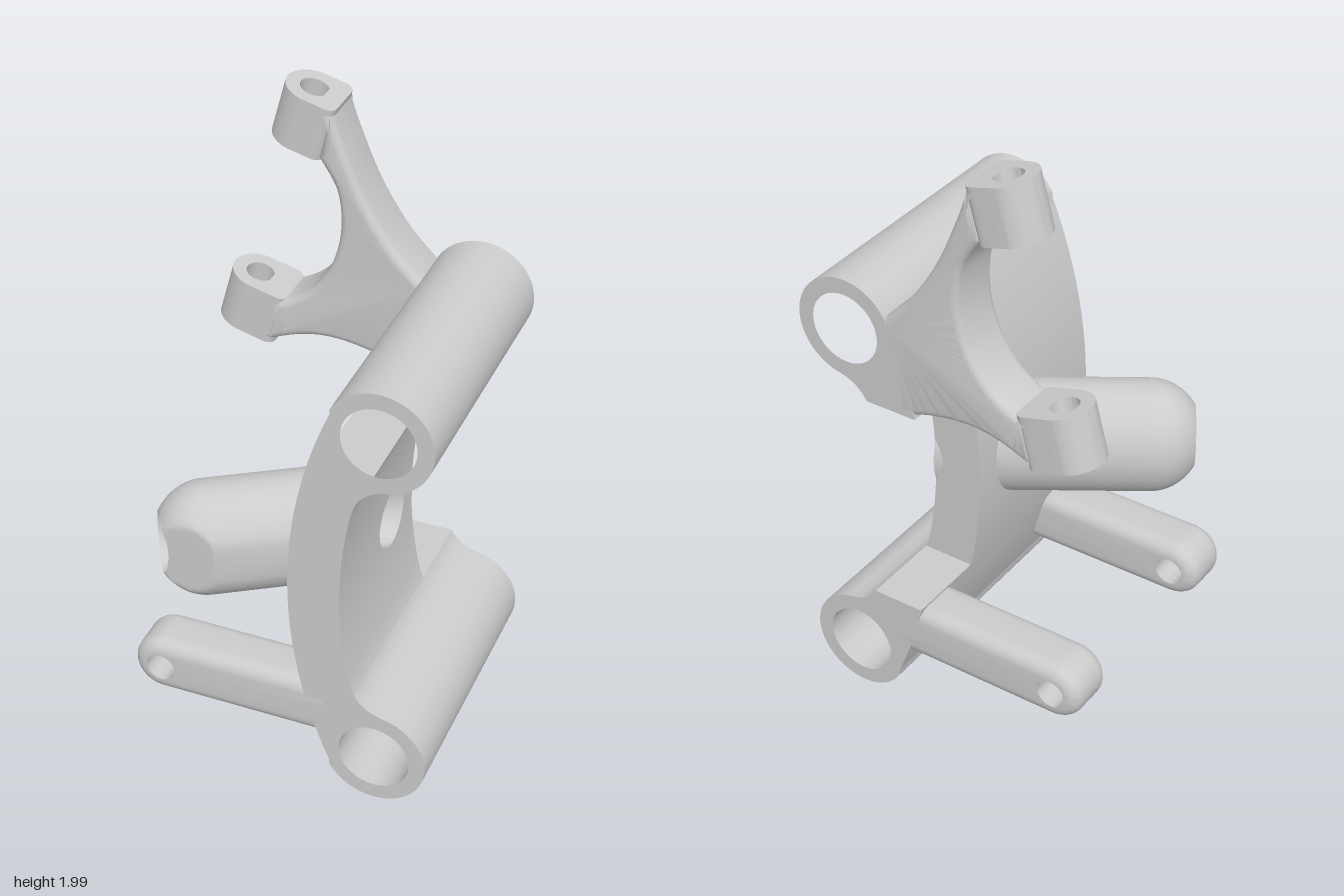
import * as THREE from 'three';
import { toCreasedNormals } from 'three/addons/utils/BufferGeometryUtils.js';

const V3 = (x, y, z) => new THREE.Vector3(x, y, z);
const MID = 0.76;               // height of the mirror plane of the body
const ARC_X = 1.708;            // centre of the curved plate
const CUT = 0.36;               // half height of the notch at the back
const BOSS = { x: 0.33, dy: 0.59, r: 0.166, bore: 0.115 };
const FIL = { x: 0.37, dy: 0.305, r: 0.12 };
const TUBE_HOLE = 0.103;

const outerX = y => ARC_X - Math.sqrt(1.658 ** 2 - (y - MID) ** 2);
const innerX = y => {
  const d = Math.abs(y - MID);
  return d < 0.332 ? ARC_X - Math.sqrt(1.493 ** 2 - d * d)
    : FIL.x - Math.sqrt(FIL.r ** 2 - (d - FIL.dy) ** 2);
};

// Skin a closed chain of rings, turned outward
function loft(rings) {
  const n = rings[0].length, pos = [], idx = [];
  rings.forEach(r => r.forEach(p => pos.push(p.x, p.y, p.z)));
  let volume = 0;
  const tri = (a, b, c) => {
    idx.push(a, b, c);
    const [p, q, r] = [a, b, c].map(i => rings[Math.floor(i / n)][i % n]);
    volume += p.dot(q.clone().cross(r));
  };
  for (let j = 0; j < rings.length - 1; j++) {
    for (let i = 0; i < n; i++) {
      const k = (i + 1) % n, a = j * n + i, b = j * n + k;
      tri(a, b, b + n);
      tri(a, b + n, a + n);
    }
  }
  if (volume < 0) idx.reverse();
  const g = new THREE.BufferGeometry();
  g.setAttribute('position', new THREE.Float32BufferAttribute(pos, 3));
  g.setIndex(idx);
  return toCreasedNormals(g, 0.6);
}

// Tongue outline: half round around the origin, straight sides to x = len
function tongue(R, len) {
  const half = [], c = 0.03;
  for (let i = 0; i <= 14; i++) {
    const a = Math.PI + (Math.PI / 2) * (i / 14);
    half.push([R * Math.cos(a), R * Math.sin(a)]);
  }
  for (let i = 1; i <= 8; i++) half.push([(len - c) * (i / 8) ** 2, -R]);
  for (let i = 1; i <= 5; i++) {
    const a = -Math.PI / 2 + (Math.PI / 2) * (i / 5);
    half.push([len - c + c * Math.cos(a), -R + c + c * Math.sin(a)]);
  }
  return half.concat(half.slice(1).reverse().map(([x, y]) => [x, -y]));
}

// Tongue with a hole at the origin and optional rounded edges
function holedTongue(R, len, hole, h, bevel) {
  const steps = [];
  if (bevel) {
    for (let i = 0; i <= 6; i++) {
      const a = (Math.PI / 2) * (i / 6);
      steps.push([-h + bevel * (1 - Math.sin(a)), bevel * (1 - Math.cos(a))]);
    }
    steps.reverse();
    // from the cap (inset) to the side (full size)
    steps.sort((p, q) => p[0] - q[0]);
  } else steps.push([-h, 0]);
  const all = steps.concat(steps.slice().reverse().map(([z, s]) => [-z, s]));
  const ring = (z, inset) => tongue(R - inset, len).map(([x, y]) => V3(x, y, z));
  const holeRing = z => tongue(R, len).map(([x, y]) => {
    const k = hole / Math.hypot(x, y);
    return V3(x * k, y * k, z);
  });
  return loft([holeRing(-h), ...all.map(([z, s]) => ring(z, s)), holeRing(h), holeRing(-h)]);
}

// Bored boss with its end of the curved plate; side = 1 top, -1 bottom
function bossGeometry(side) {
  const pts = [], put = (x, d) => pts.push(new THREE.Vector2(x, MID + side * d));
  const tip = Math.atan2(BOSS.dy, BOSS.x - ARC_X);
  for (let i = 0; i <= 12; i++) {
    const d = CUT + (1.658 * Math.sin(tip) - CUT) * (i / 12);
    put(outerX(MID + d), d);
  }
  const end = Math.atan2(FIL.dy - BOSS.dy, FIL.x - BOSS.x);
  for (let i = 1; i <= 48; i++) {
    const a = tip + (end - tip) * (i / 48);
    put(BOSS.x + BOSS.r * Math.cos(a), BOSS.dy + BOSS.r * Math.sin(a));
  }
  const a0 = end + Math.PI, a1 = Math.PI - Math.asin((CUT - FIL.dy) / FIL.r);
  for (let i = 1; i <= 12; i++) {
    const a = a0 + (a1 - a0) * (i / 12);
    put(FIL.x + FIL.r * Math.cos(a), FIL.dy + FIL.r * Math.sin(a));
  }
  const shape = new THREE.Shape(pts);
  shape.holes.push(new THREE.Path().absarc(BOSS.x, MID + side * BOSS.dy, BOSS.bore, 0, Math.PI * 2, true));
  const g = new THREE.ExtrudeGeometry(shape, { depth: 0.874, bevelEnabled: false, curveSegments: 32 });
  g.translate(0, 0, -0.437);
  return toCreasedNormals(g, 0.6);
}

// Curved plate between the bosses, pierced by the slanted bore
function plateGeometry() {
  const z0 = -0.168, z1 = 0.437, edge = [], n = 24;
  const corners = [[z0, -CUT], [z1, -CUT], [z1, CUT], [z0, CUT]];
  corners.forEach(([z, d], i) => {
    const [zb, db] = corners[(i + 1) % 4];
    for (let k = 0; k < n; k++) edge.push([z + (zb - z) * k / n, d + (db - d) * k / n]);
  });
  const ring = (f, zc, t) => edge.map(([z, d]) => {
    const k = TUBE_HOLE / Math.hypot(z - zc, d);
    const y = MID + THREE.MathUtils.lerp(d * k, d, t);
    return V3(f(y), y, THREE.MathUtils.lerp(zc + (z - zc) * k, z, t));
  });
  const rings = [];
  for (let i = 0; i <= 10; i++) rings.push(ring(innerX, 0.005, i / 10));
  for (let i = 10; i >= 0; i--) rings.push(ring(outerX, 0.11, i / 10));
  rings.push(rings[0]);
  return loft(rings);
}

// Slanted hollow tube with a domed end, starting at the plate's inner face
function tubeGeometry() {
  const R = 0.1885, c = 0.842, s = 0.539, domeAt = 0.376, domeLen = 0.167;
  const ring = (r, at) => Array.from({ length: 64 }, (_, i) => {
    const a = (i / 64) * Math.PI * 2, y = MID + r * Math.sin(a), w = c * r * Math.cos(a);
    const t = at === null ? (0.05 + w * s - innerX(y) + 0.002) / c : at;
    return V3(0.05 - t * c + w * s, y, Math.min(0.11 + t * s + w * c, 0.437));
  });
  const rings = [ring(TUBE_HOLE, null), ring(R, null)];
  const last = Math.acos(TUBE_HOLE / R);
  for (let i = 0; i <= 14; i++) {
    const a = last * (i / 14);
    rings.push(ring(R * Math.cos(a), domeAt + domeLen * Math.sin(a)));
  }
  rings.push(ring(TUBE_HOLE, null));
  return loft(rings);
}

// Forked web that carries the two lugs
function webGeometry() {
  const v = list => list.map(([x, y]) => new THREE.Vector2(x, y));
  const shape = new THREE.Shape();
  shape.moveTo(-0.1, 1.945);
  shape.splineThru(v([[-0.06, 1.83], [0.01, 1.67], [0.1, 1.53], [0.205, 1.42]]));
  shape.lineTo(0.19, 1.35);
  shape.lineTo(0.17, 1.2);
  shape.lineTo(0.13, 1.115);
  shape.splineThru(v([[0.03, 1.148], [-0.09, 1.166], [-0.2, 1.152], [-0.32, 1.105]]));
  shape.lineTo(-0.29, 1.265);
  shape.splineThru(v([[-0.24, 1.275], [-0.165, 1.33], [-0.1, 1.43], [-0.07, 1.56], [-0.083, 1.69], [-0.14, 1.79]]));
  const g = new THREE.ExtrudeGeometry(shape, {
    depth: 0.127, bevelThickness: 0.025, bevelSize: 0.025, bevelOffset: -0.025, bevelSegments: 5, curveSegments: 32,
  });
  g.translate(0, 0, -0.412);
  return toCreasedNormals(g, 0.6);
}

export function createModel() {
  const group = new THREE.Group();
  const material = new THREE.MeshStandardMaterial({ color: 0xcccccc });
  const add = (name, geometry, x = 0, y = 0, z = 0) => {
    const mesh = new THREE.Mesh(geometry, material);
    mesh.name = name;
    mesh.position.set(x, y, z);
    group.add(mesh);
    return mesh;
  };

  add('upperBoss', bossGeometry(1));
  add('lowerBoss', bossGeometry(-1));
  add('curvedPlate', plateGeometry());
  add('slantedTube', tubeGeometry());

  // Pair of lower arms
  const arm = holedTongue(0.096, 0.555, 0.047, 0.0885, 0.045);
  add('frontArm', arm, -0.385, 0.295, 0.3485);
  add('backArm', arm, -0.385, 0.295, -0.3485);

  // Bracket with two tilted lugs
  add('bracketWeb', webGeometry());
  [['upperLug', 0.0975, -0.206, 1.89], ['lowerLug', 0.122, -0.391, 1.215]].forEach(([name, len, x, y]) => {
    const g = holedTongue(0.0885, len, 0.045, 0.0885, 0);
    g.rotateX(Math.PI / 2).rotateZ(-Math.PI / 12);
    add(name, g, x, y, -0.3485);
  });
  return group;
}
